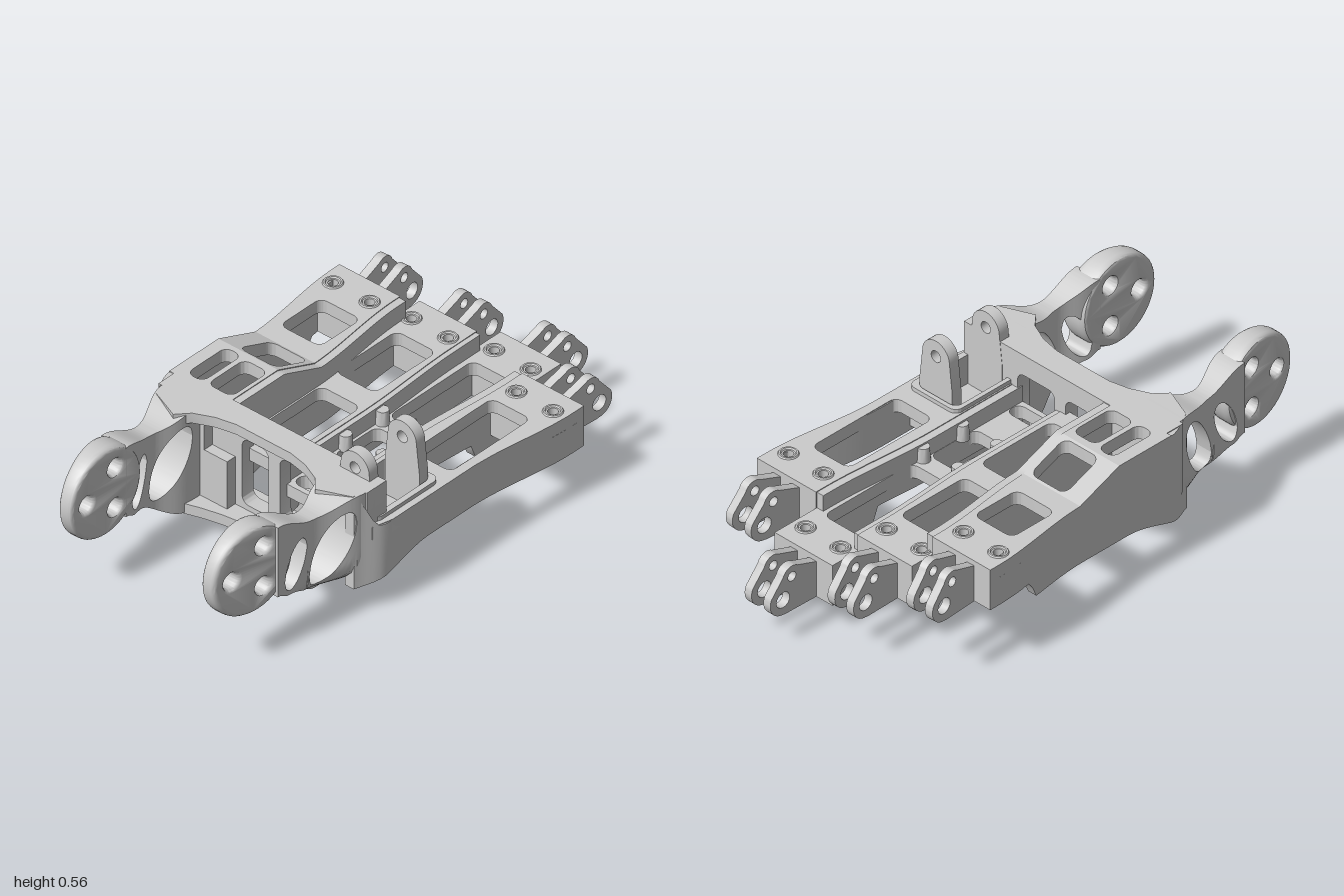
import * as THREE from 'three';
import { toCreasedNormals } from 'three/addons/utils/BufferGeometryUtils.js';

const material = new THREE.MeshStandardMaterial({ color: 0xcccccc });
const { smoothstep, lerp, clamp } = THREE.MathUtils;

function add(group, name, geometry) {
  const flat = geometry.index ? geometry.toNonIndexed() : geometry;
  const mesh = new THREE.Mesh(toCreasedNormals(flat, 0.6), material);
  mesh.name = name;
  group.add(mesh);
}

// 2D outlines
const poly = (pts) => new THREE.Shape(pts.map((p) => new THREE.Vector2(...p)));
const disc = (x, y, r) => new THREE.Shape().absarc(x, y, r, 0, Math.PI * 2);
function roundRect(x0, y0, x1, y1, r = 0.03) {
  return new THREE.Shape()
    .absarc(x1 - r, y1 - r, r, 0, Math.PI / 2)
    .absarc(x0 + r, y1 - r, r, Math.PI / 2, Math.PI)
    .absarc(x0 + r, y0 + r, r, Math.PI, Math.PI * 1.5)
    .absarc(x1 - r, y0 + r, r, Math.PI * 1.5, Math.PI * 2);
}

// Extrusions: deck from (x, z) up y, side from (z, y) along x, face from (x, y) along z
function extrude(shape, holes, depth) {
  shape.holes.push(...holes);
  return new THREE.ExtrudeGeometry(shape, { depth, bevelEnabled: false, curveSegments: 8 });
}
const deck = (shape, holes, y0, y1) => extrude(shape, holes, y1 - y0).rotateX(Math.PI / 2).translate(0, y1, 0);
const side = (shape, holes, x0, x1) => extrude(shape, holes, x1 - x0).rotateY(-Math.PI / 2).translate(x1, 0, 0);
const face = (shape, holes, z0, z1) => extrude(shape, holes, z1 - z0).translate(0, 0, z0);

function reshape(geometry, rule) {
  const p = geometry.attributes.position, v = new THREE.Vector3();
  for (let i = 0; i < p.count; i++) {
    rule(v.fromBufferAttribute(p, i));
    p.setXYZ(i, v.x, v.y, v.z);
  }
  return geometry;
}

// The five lengthwise edges between the four finger columns
const backX = [-0.525, -0.26, -0.01, 0.255, 0.525];
const frontX = [-0.48, -0.22, 0.01, 0.23, 0.48];
function edgeX(i, z) {
  const taper = i % 4 ? 0 : 0.1 * smoothstep(z, 0.3, 0.44);
  return lerp(frontX[i], backX[i], smoothstep(-z, 0.1, 0.55)) * (1 - taper);
}
// The outer column rises to the wrist between these two stations
const rampStart = -0.12, rampEnd = 0.06;
const rampUp = (z) => 0.07 * clamp((z - rampStart) / (rampEnd - rampStart), 0, 1);

const columns = [
  { name: 'outerColumn', top: 0.4, spans: [-0.58, rampStart, rampEnd, 0.3],
    windows: [[-0.445, -0.4, -0.27, -0.2], [-0.4, -0.11, -0.24, 0.05], [-0.34, 0.09, -0.235, 0.27], [-0.43, 0.08, -0.36, 0.27]] },
  { name: 'ringColumn', top: 0.33, spans: [-0.675, 0.3],
    windows: [[-0.205, -0.5, -0.03, -0.2], [-0.185, -0.11, -0.01, 0.22]] },
  { name: 'middleColumn', top: 0.265, spans: [-0.79, 0.3],
    windows: [[0.03, -0.61, 0.21, -0.2], [0.04, -0.13, 0.2, 0.08], [0.04, 0.22, 0.2, 0.28]] },
  { name: 'innerColumn', top: 0.33, spans: [-0.6, 0.36],
    windows: [[0.275, -0.43, 0.445, -0.04], [0.25, 0.04, 0.435, 0.31]] },
];

function columnOutline(i, z0, z1) {
  const left = [], right = [];
  for (let k = 0; k <= 12; k++) {
    const z = lerp(z0, z1, k / 12);
    left.push([edgeX(i, z), z]);
    right.unshift([edgeX(i + 1, z), z]);
  }
  return poly([...left, ...right]);
}

// Two-hole lug at the back of a column
function lug() {
  const outline = poly([[0.03, 0], [-0.14, 0]])
    .absarc(-0.15, 0.06, 0.058, -Math.PI / 2, -Math.PI * 1.15, true)
    .absarc(-0.11, 0.135, 0.042, Math.PI * 0.9, Math.PI * 0.3, true)
    .lineTo(0.03, 0.13);
  return side(outline, [disc(-0.15, 0.06, 0.03), disc(-0.11, 0.135, 0.018)], -0.016, 0.016);
}

function column(c, i) {
  const g = new THREE.Group();
  g.name = c.name;
  const back = c.spans[0], low = c.top - 0.16, mid = (backX[i] + backX[i + 1]) / 2;
  const screws = [mid - 0.08, mid + 0.08], screwZ = back + 0.09;
  c.spans.slice(1).forEach((z1, k) => {
    const z0 = c.spans[k];
    const holes = c.windows.filter((w) => w[1] >= z0 && w[3] <= z1).map((w) => roundRect(...w));
    if (k === 0) holes.push(...screws.map((x) => disc(x, screwZ, 0.018)));
    const plate = deck(columnOutline(i, z0, z1), holes, c.top - 0.05, c.top);
    add(g, 'deck', i ? plate : reshape(plate, (v) => { v.y += rampUp(v.z); }));
  });
  add(g, 'knuckleBlock', deck(columnOutline(i, back, back + 0.16), [], low, c.top - 0.05));
  for (const x of screws) {
    add(g, 'screwRing', new THREE.TorusGeometry(0.03, 0.006, 6, 16).rotateX(Math.PI / 2).translate(x, c.top, screwZ));
  }
  for (const dx of [-0.043, 0.043]) add(g, 'knuckleLug', lug().rotateY(-mid * 0.17).translate(mid + dx, low, back));
  return g;
}

// Wall or rib hanging below edge i, deeper towards the wrist
function wall(i) {
  const near = columns.slice(Math.max(0, i - 1), i + 1);
  const high = near.reduce((a, b) => (a.top > b.top ? a : b));
  const low = Math.min(...near.map((c) => c.top)) - 0.16;
  const outer = i % 4 === 0;
  return reshape(new THREE.BoxGeometry(1, 1, 1, 1, 1, 48), (v) => {
    const z = lerp(high.spans[0] + 0.005, outer ? 0.42 : 0.3, v.z + 0.5);
    const bottom = lerp(lerp(low, 0.17, smoothstep(z, -0.38, -0.35)), 0.1, smoothstep(z, 0.1, 0.42));
    let top = high.top - 0.003;
    if (i < 2) top += rampUp(z);
    if (i === 4) top += 0.14 * smoothstep(z, 0.33, 0.42);
    v.set(edgeX(i, z) + (2 - i) * 0.01 + v.x * 0.038, v.y > 0 ? top : bottom, z);
  });
}

// Wrist arm root: strips above and below two slanted slots, thinning forward and rounded below
const slots = [{ z: 0.495, y: 0.29, half: 0.085, height: 0.1 }, { z: 0.647, y: 0.3, half: 0.052, height: 0.075 }];
function armStrip(s, upper) {
  return reshape(new THREE.BoxGeometry(1, 1, 1, 1, 8, 64), (v) => {
    const z = lerp(0.37, 0.735, v.z + 0.5);
    const top = 0.47 - 0.035 * smoothstep(z, 0.4, 0.54) + 0.058 * smoothstep(z, 0.56, 0.73);
    const bottom = 0.075 + 0.12 * smoothstep(z, 0.44, 0.68) + 0.02 * smoothstep(z, 0.68, 0.73);
    const cut = z < 0.59 ? slots[0] : slots[1];
    const gap = cut.height * Math.sqrt(Math.max(0, 1 - ((z - cut.z) / cut.half) ** 2));
    const middle = cut.y - 0.9 * clamp(z - cut.z, -cut.half, cut.half);
    const y = upper ? lerp(middle + gap, top, v.y + 0.5) : lerp(bottom, middle - gap, v.y + 0.5);
    const inner = 0.277 + 0.04 * Math.exp(-(((z - 0.57) / 0.09) ** 2));
    const round = 0.14 * (Math.max(0, 0.2 - y) / 0.125) ** 2;
    const outer = Math.max(inner + 0.025, 0.445 - 0.06 * smoothstep(z, 0.37, 0.58) - round);
    v.set(s * lerp(inner, outer, s * v.x + 0.5), y, z);
  });
}

// Round wrist ear with three pivot holes, thinner towards its tip
function wristEar(s) {
  const shape = disc(0.828, 0.36, 0.17);
  shape.holes.push(disc(0.92, 0.36, 0.03), disc(0.785, 0.44, 0.03), disc(0.785, 0.28, 0.03));
  const g = new THREE.ExtrudeGeometry(shape, {
    depth: 0.05, curveSegments: 24, bevelSize: 0.014, bevelOffset: -0.014, bevelThickness: 0.025, bevelSegments: 3,
  });
  g.translate(0, 0, -0.025).rotateY(-Math.PI / 2);
  return reshape(g, (v) => {
    const thick = lerp(0.108, 0.055, (v.z - 0.66) / 0.34);
    v.x = s * (0.277 + 0.02 * (v.z - 0.66) + thick / 2) + v.x * thick / 0.1;
  });
}

// Cross-section of the wrist frame, rounded below
function frame() {
  const s = poly([[-0.46, 0.47], [-0.46, 0.21]]);
  s.bezierCurveTo(-0.45, 0.13, -0.37, 0.08, -0.26, 0.07);
  s.lineTo(0.3, 0.07);
  s.bezierCurveTo(0.37, 0.08, 0.44, 0.13, 0.45, 0.21);
  return s.lineTo(0.45, 0.47);
}

export function createModel() {
  const model = new THREE.Group();
  model.name = 'palmFrame';

  columns.forEach((c, i) => model.add(column(c, i)));
  for (let i = 0; i < 5; i++) add(model, i % 4 ? 'rib' : 'sideWall', wall(i));

  // Wrist frame: wall with two windows, stepped recess, arched bar and floor
  add(model, 'wristWall', face(frame(), [roundRect(-0.13, 0.13, -0.015, 0.39), roundRect(0.035, 0.13, 0.205, 0.39)], 0.28, 0.335));
  const recess = poly([[-0.26, 0.43], [-0.26, 0.3], [-0.16, 0.3], [-0.16, 0.11], [0.25, 0.11], [0.25, 0.23], [0.29, 0.25], [0.29, 0.43]]);
  add(model, 'wristRim', face(frame(), [recess], 0.335, 0.375));
  const arch = poly([[-0.45, 0.28], [0.45, 0.28], [0.43, 0.42], [0.31, 0.47]]);
  arch.bezierCurveTo(0.25, 0.33, -0.25, 0.33, -0.31, 0.47);
  arch.lineTo(-0.43, 0.42);
  add(model, 'wristTopBar', deck(arch, [disc(-0.37, 0.37, 0.012), disc(0.4, 0.36, 0.012)], 0.43, 0.47));
  const floor = poly([[-0.27, 0.23], [0.27, 0.23], [0.3, 0.45]]);
  floor.quadraticCurveTo(0, 0.34, -0.3, 0.45);
  add(model, 'wristFloor', deck(floor, [], 0.07, 0.11));
  for (const s of [-1, 1]) {
    const arm = new THREE.Group();
    arm.name = s > 0 ? 'leftWristArm' : 'rightWristArm';
    add(arm, 'upperStrip', armStrip(s, true));
    add(arm, 'lowerStrip', armStrip(s, false));
    add(arm, 'ear', wristEar(s));
    model.add(arm);
  }

  // Drive housing under the palm: three curved blades behind a front wall
  for (const x of [0, 0.11, 0.22]) {
    const blade = poly([[0.24, 0.2], [0.225, 0], [0.08, 0]]);
    blade.quadraticCurveTo(0.03, 0, 0, 0.06);
    blade.quadraticCurveTo(-0.04, 0.11, -0.04, 0.22);
    add(model, 'housingBlade', side(blade, [], x, x + 0.03));
  }
  add(model, 'housingFront', side(poly([[0.24, 0.2], [0.225, 0], [0.19, 0], [0.2, 0.2]]), [], 0.005, 0.245));

  // Thumb mount: pocket and two upright hinge ears
  const cx = 0.35;
  const screwHoles = [0, 1, 2, 3].map((k) => disc(cx + 0.05 * Math.cos(k * Math.PI / 2), 0.175 + 0.07 * Math.sin(k * Math.PI / 2), 0.014));
  add(model, 'thumbPocketFloor', deck(roundRect(0.23, 0.02, 0.465, 0.34), screwHoles, 0.19, 0.23));
  add(model, 'thumbPocketRim', deck(roundRect(0.235, 0.025, 0.455, 0.335), [roundRect(0.252, 0.042, 0.433, 0.308)], 0.22, 0.345));
  for (const z of [0.07, 0.3]) {
    const ear = poly([[cx - 0.075, 0.2], [cx + 0.075, 0.2], [cx + 0.075, 0.38]])
      .absarc(cx, 0.495, 0.062, 0, Math.PI)
      .lineTo(cx - 0.075, 0.38);
    add(model, 'thumbHingeEar', face(ear, [disc(cx, 0.495, 0.022)], z - 0.021, z + 0.021));
  }

  // Guide posts on the middle column
  for (const x of [0.04, 0.2]) {
    for (const z of [0.02, -0.16]) add(model, 'guidePost', new THREE.CylinderGeometry(0.022, 0.026, 0.06, 12).translate(x, 0.29, z));
  }
  return model;
}
